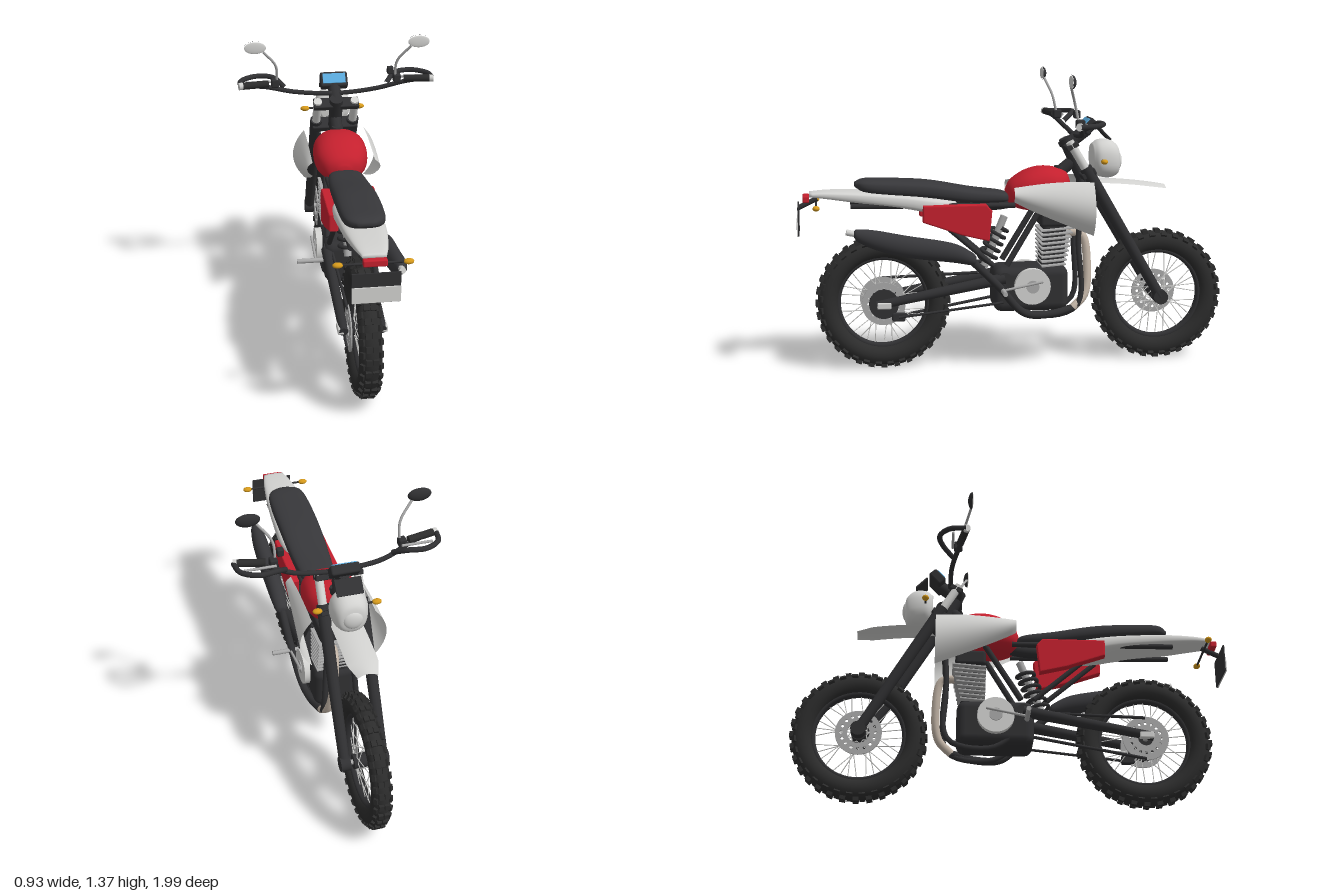
import * as THREE from 'three';
import { mergeGeometries } from 'three/addons/utils/BufferGeometryUtils.js';
import { RoundedBoxGeometry } from 'three/addons/geometries/RoundedBoxGeometry.js';
import { ParametricGeometry } from 'three/addons/geometries/ParametricGeometry.js';

const paint = (name, color, side = THREE.FrontSide) => {
  const m = new THREE.MeshStandardMaterial({ color, side });
  m.name = name;
  return m;
};

export function createModel() {
  const root = new THREE.Group();
  root.name = 'motorcycle';
  const dark = paint('dark frame', 0x303032), rubber = paint('tyre rubber', 0x2c2c2c);
  const vinyl = paint('seat vinyl', 0x37373a), light = paint('pale plastic', 0xd2d2d0, THREE.DoubleSide);
  const red = paint('red paint', 0xc4202e), amber = paint('amber lens', 0xd69a1c);
  const blue = paint('blue screen', 0x5aaadc), beige = paint('header pipe', 0xc4b6a8);
  const metal = paint('metal', 0xa8a8a8);
  const V = (x, y, z) => new THREE.Vector3(x, y, z);

  const add = (name, geo, mat, x = 0, y = 0, z = 0, parent = root) => {
    const m = new THREE.Mesh(geo, mat);
    m.name = name;
    m.position.set(x, y, z);
    parent.add(m);
    return m;
  };
  const box = (name, mat, w, h, d, x, y, z, rx = 0) => {
    const m = add(name, new RoundedBoxGeometry(w, h, d, 2, Math.min(w, h, d) * 0.2), mat, x, y, z);
    m.rotation.x = rx;
    return m;
  };
  const rodGeo = (a, b, r1, r2 = r1, n = 12) => {
    const d = b.clone().sub(a);
    const g = new THREE.CylinderGeometry(r2, r1, d.length(), n);
    g.applyQuaternion(new THREE.Quaternion().setFromUnitVectors(V(0, 1, 0), d.normalize()));
    return g.translate((a.x + b.x) / 2, (a.y + b.y) / 2, (a.z + b.z) / 2);
  };
  const rod = (name, mat, a, b, r1, r2) => add(name, rodGeo(V(...a), V(...b), r1, r2), mat);
  const tube = (name, mat, pts, r) => add(name,
    new THREE.TubeGeometry(new THREE.CatmullRomCurve3(pts.map(p => V(...p))), 32, r, 10), mat);
  const axle = (name, mat, r, w, x, y, z, n = 32) =>
    add(name, new THREE.CylinderGeometry(r, r, w, n).rotateZ(Math.PI / 2), mat, x, y, z);
  const sheet = (name, mat, f, nu = 16, nv = 12) =>
    add(name, new ParametricGeometry((u, v, t) => t.set(...f(u, v)), nu, nv), mat);
  const sides = f => [-1, 1].forEach(f);

  // Rounded body through sections [z, y, half width, half height], z increasing
  const loft = (name, mat, secs, x = 0, e = 0.85, n = 28) => {
    const a = new THREE.CatmullRomCurve3(secs.map(s => V(s[0], s[1], s[2])), false, 'catmullrom');
    const b = new THREE.CatmullRomCurve3(secs.map(s => V(s[3], 0, 0)), false, 'catmullrom');
    const rows = (secs.length - 1) * 5, pos = [], idx = [];
    const pw = v => Math.sign(v) * Math.abs(v) ** e;
    for (let i = 0; i <= rows; i++) {
      const p = a.getPoint(i / rows), h = Math.max(b.getPoint(i / rows).x, 0.001);
      for (let j = 0; j < n; j++) {
        const t = j / n * Math.PI * 2;
        pos.push(Math.max(p.z, 0.001) * pw(Math.cos(t)), p.y + h * pw(Math.sin(t)), p.x);
      }
    }
    for (let i = 0; i < rows; i++) for (let j = 0; j < n; j++) {
      const k = (j + 1) % n, q = i * n, r = q + n;
      idx.push(q + j, q + k, r + k, q + j, r + k, r + j);
    }
    const c = pos.length / 3, end = rows * n, s0 = secs[0], s1 = secs[secs.length - 1];
    pos.push(0, s0[1], s0[0], 0, s1[1], s1[0]);
    for (let j = 0; j < n; j++) {
      const k = (j + 1) % n;
      idx.push(c, k, j, c + 1, end + j, end + k);
    }
    const g = new THREE.BufferGeometry();
    g.setAttribute('position', new THREE.Float32BufferAttribute(pos, 3));
    g.setIndex(idx);
    g.computeVertexNormals();
    return add(name, g, mat, x);
  };

  // Drilled disc lying across the x axis
  const disc = (name, r, inner, x, y, z) => {
    const s = new THREE.Shape().absarc(0, 0, r, 0, Math.PI * 2);
    s.holes.push(new THREE.Path().absarc(0, 0, inner, 0, Math.PI * 2, true));
    for (let i = 0; i < 16; i++) {
      const t = i / 8 * Math.PI, m = (r + inner) / 2;
      s.holes.push(new THREE.Path().absarc(m * Math.cos(t), m * Math.sin(t), 0.007, 0, Math.PI * 2, true));
    }
    const g = new THREE.ExtrudeGeometry(s, { depth: 0.006, bevelEnabled: false, curveSegments: 20 });
    add(name, g.rotateY(Math.PI / 2), metal, x, y, z);
  };

  // Wheels: tyre, knobs, rim, crossed spokes and hub
  const wheel = (name, y, z, width) => {
    const w = new THREE.Group();
    w.name = name;
    w.position.set(0, y, z);
    root.add(w);
    const tyre = new THREE.TorusGeometry(0.253, 0.048, 16, 64).rotateY(Math.PI / 2).scale(width / 0.096, 1, 1);
    add('tyre', tyre, rubber, 0, 0, 0, w);
    add('rim', new THREE.TorusGeometry(0.208, 0.013, 8, 64).rotateY(Math.PI / 2).scale(1.8, 1, 1), dark, 0, 0, 0, w);
    const knobs = [], spokes = [];
    for (let i = 0; i < 32; i++) {
      const t = i / 16 * Math.PI;
      sides(s => {
        const mid = new THREE.BoxGeometry(width * 0.24, 0.018, 0.026);
        knobs.push(mid.translate(s * width * 0.15, 0.301, 0).rotateX(t));
        const edge = new THREE.BoxGeometry(width * 0.2, 0.02, 0.028).rotateZ(-s * 0.8);
        knobs.push(edge.translate(s * width * 0.37, 0.285, 0).rotateX(t + Math.PI / 32));
      });
      const s = i % 2 ? 1 : -1, lean = i % 4 < 2 ? 0.5 : -0.5;
      spokes.push(rodGeo(V(s * 0.035, 0.035 * Math.cos(t + lean * 2), 0.035 * Math.sin(t + lean * 2)),
        V(0, 0.205 * Math.cos(t), 0.205 * Math.sin(t)), 0.0022, 0.0022, 5));
    }
    add('tread knobs', mergeGeometries(knobs), rubber, 0, 0, 0, w);
    add('spokes', mergeGeometries(spokes), light, 0, 0, 0, w);
    axle('hub', dark, 0.033, 0.1, 0, y, z);
    axle('axle', metal, 0.012, 0.21, 0, y, z, 12);
  };
  const FZ = -0.688, RZ = 0.607, WY = 0.312;
  wheel('frontWheel', WY, FZ, 0.085);
  wheel('rearWheel', WY, RZ, 0.1);
  disc('frontBrakeDisc', 0.105, 0.05, -0.055, WY, FZ);
  disc('rearBrakeDisc', 0.1, 0.04, 0.052, WY, RZ);
  disc('rearSprocket', 0.105, 0.035, -0.062, WY, RZ);
  axle('rearHubCover', dark, 0.068, 0.02, 0.06, WY, RZ);

  // Fork, clamps and steering head
  sides(s => {
    const x = s * 0.088;
    rod('forkTube', light, [x, 0.85, -0.37], [x, 1.05, -0.25], 0.02);
    rod('forkLeg', dark, [x, WY, FZ], [x, 0.93, -0.325], 0.024, 0.029);
    axle('forkFoot', dark, 0.034, 0.045, x, WY, FZ, 20);
  });
  box('upperClamp', dark, 0.215, 0.025, 0.06, 0, 1.03, -0.262, 0.5);
  box('lowerClamp', dark, 0.215, 0.03, 0.07, 0, 0.9, -0.34, 0.5);
  rod('steeringHead', dark, [0, 0.84, -0.345], [0, 1.06, -0.245], 0.032);

  // Handlebar, grips, guards, levers and mirrors
  tube('handlebar', dark, [[-0.45, 1.15, -0.225], [-0.34, 1.135, -0.25], [-0.2, 1.092, -0.285], [-0.06, 1.075, -0.29],
    [0.06, 1.075, -0.29], [0.2, 1.092, -0.285], [0.34, 1.135, -0.25], [0.45, 1.15, -0.225]], 0.011);
  const dome = d => new THREE.SphereGeometry(1, 28, 8, 0, Math.PI * 2, 0, Math.PI / 2).rotateX(d * Math.PI / 2);
  sides(s => {
    rod('grip', rubber, [s * 0.32, 1.147, -0.252], [s * 0.44, 1.15, -0.228], 0.017);
    rod('gripEnd', light, [s * 0.44, 1.15, -0.228], [s * 0.458, 1.15, -0.224], 0.017);
    box('switchBlock', dark, 0.035, 0.04, 0.04, s * 0.288, 1.148, -0.26);
    tube('handGuard', dark, [[s * 0.455, 1.15, -0.228], [s * 0.44, 1.152, -0.3], [s * 0.37, 1.155, -0.345],
      [s * 0.29, 1.15, -0.33], [s * 0.24, 1.115, -0.28]], 0.012);
    rod('lever', metal, [s * 0.28, 1.145, -0.285], [s * 0.42, 1.145, -0.285], 0.006);
    tube('mirrorStem', metal, [[s * 0.278, 1.15, -0.255], [s * 0.285, 1.24, -0.235], [s * 0.345, 1.32, -0.205]], 0.006);
    add('mirrorShell', dome(-1).scale(0.054, 0.032, 0.02), dark, s * 0.38, 1.34, -0.2);
    add('mirrorGlass', dome(1).scale(0.05, 0.028, 0.005), light, s * 0.38, 1.34, -0.2);
  });
  box('fluidReservoir', dark, 0.03, 0.035, 0.03, 0.255, 1.19, -0.25);

  // Dashboard
  box('dashHousing', dark, 0.13, 0.075, 0.045, 0, 1.115, -0.352, -0.75);
  box('dashScreen', blue, 0.108, 0.05, 0.006, 0, 1.132, -0.335, -0.75);
  rod('dashMount', dark, [0, 1.04, -0.27], [0, 1.1, -0.35], 0.03);
  const visor = box('smallWindscreen', dark, 0.12, 0.008, 0.075, 0, 1.08, -0.425, -0.8);
  visor.rotation.x = -0.8;

  // Headlight cowl and front mudguard
  loft('headlightCowl', light, [[-0.503, 0.95, 0.025, 0.03], [-0.49, 0.955, 0.06, 0.068], [-0.45, 0.962, 0.08, 0.09],
    [-0.4, 0.965, 0.083, 0.085], [-0.37, 0.97, 0.06, 0.06]]);
  add('headlightLens', dome(-1).scale(0.045, 0.045, 0.02), light, 0, 0.952, -0.493);
  sheet('frontMudguard', light, (u, v) => {
    const t = v * 2 - 1, w = 0.07 - 0.025 * Math.max(0, u - 0.8) / 0.2;
    return [t * w, 0.87 - 0.035 * u * u - 0.015 * t * t, -0.34 - 0.38 * u];
  });

  // Indicators front and rear
  [[0.96, -0.405, 0.133], [0.775, 0.905, 0.145]].forEach(([y, z, x]) => {
    rod('indicatorStalk', dark, [-x, y, z], [x, y, z], 0.005);
    sides(s => {
      const m = add('indicator', new THREE.SphereGeometry(1, 16, 10), amber, s * x, y, z);
      m.scale.set(0.022, 0.012, 0.016);
    });
  });

  // Tank, side shrouds, seat and tail
  loft('fuelTank', red, [[-0.265, 0.83, 0.03, 0.04], [-0.245, 0.832, 0.08, 0.075], [-0.19, 0.83, 0.118, 0.097],
    [-0.12, 0.828, 0.125, 0.102], [-0.05, 0.82, 0.117, 0.09], [0.01, 0.81, 0.08, 0.06], [0.035, 0.805, 0.025, 0.025]]);
  add('tankCap', new THREE.CylinderGeometry(0.025, 0.028, 0.012, 20), dark, 0, 0.925, -0.22);
  sides(s => sheet('sideShroud', light, (u, v) => {
    const t = v * 2 - 1, hi = 0.85 + 0.022 * Math.sin(u * 2.2), lo = 0.785 - 0.165 * u ** 0.9;
    return [s * (0.145 + (0.025 + 0.03 * u) * (1 - t * t)), lo + (hi - lo) * v, 0.015 - 0.37 * u];
  }));
  loft('seat', vinyl, [[0.02, 0.79, 0.04, 0.015], [0.06, 0.795, 0.075, 0.026], [0.2, 0.805, 0.09, 0.035],
    [0.4, 0.835, 0.096, 0.04], [0.6, 0.85, 0.094, 0.036], [0.69, 0.858, 0.08, 0.028], [0.73, 0.862, 0.035, 0.01]], 0, 0.7);
  loft('tailFairing', light, [[0.27, 0.755, 0.07, 0.03], [0.36, 0.762, 0.098, 0.04], [0.5, 0.785, 0.1, 0.035],
    [0.7, 0.806, 0.09, 0.028], [0.85, 0.818, 0.07, 0.018], [0.935, 0.82, 0.05, 0.01]], 0, 0.6);
  const panel = new THREE.Shape([[0.42, 0.765], [0.14, 0.765], [0.118, 0.74], [0.13, 0.61], [0.25, 0.64], [0.42, 0.7]]
    .map(p => new THREE.Vector2(...p)));
  sides(s => add('sidePanel', new THREE.ExtrudeGeometry(panel, {
    depth: 0.03, bevelSize: 0.007, bevelThickness: 0.006, bevelSegments: 3 }).rotateY(-Math.PI / 2), red, s > 0 ? 0.115 : -0.085));
  box('tailLight', red, 0.1, 0.03, 0.03, 0, 0.802, 0.95);
  box('plateHolder', dark, 0.2, 0.13, 0.007, 0, 0.708, 0.985);
  box('blankPlate', light, 0.2, 0.07, 0.006, 0, 0.677, 0.99);
  rod('plateBracket', dark, [0, 0.8, 0.9], [0, 0.76, 0.983], 0.012);

  // Engine with finned cylinder
  box('engineCase', dark, 0.2, 0.21, 0.35, 0, 0.365, -0.075);
  sides(s => {
    axle('engineCover', light, 0.084, 0.03, s * 0.112, 0.385, -0.075);
    axle('coverBoss', metal, 0.03, 0.04, s * 0.112, 0.385, -0.075);
  });
  box('cylinderCore', dark, 0.13, 0.24, 0.11, 0, 0.56, -0.185, -0.06);
  for (let i = 0; i < 9; i++)
    box('coolingFin', metal, 0.18, 0.008, 0.115 + i * 0.005, 0, 0.475 + i * 0.021, -0.18 - i * 0.002, 0.08);
  box('cylinderHead', dark, 0.16, 0.07, 0.14, 0, 0.69, -0.19);

  // Exhaust
  tube('headerPipe', beige, [[0.02, 0.62, -0.25], [0.03, 0.61, -0.32], [0.04, 0.48, -0.345], [0.06, 0.33, -0.33], [0.08, 0.27, -0.27]], 0.019);
  tube('exhaustPipe', dark, [[0.08, 0.27, -0.27], [0.1, 0.25, -0.17], [0.115, 0.26, -0.04], [0.135, 0.4, 0.09], [0.145, 0.54, 0.23]], 0.018);
  loft('muffler', vinyl, [[0.19, 0.525, 0.015, 0.015], [0.21, 0.53, 0.03, 0.03], [0.3, 0.56, 0.039, 0.045],
    [0.5, 0.592, 0.04, 0.05], [0.64, 0.625, 0.037, 0.045], [0.72, 0.648, 0.026, 0.03], [0.74, 0.655, 0.015, 0.015]], 0.147, 1);
  rod('exhaustTip', light, [0.145, 0.655, 0.73], [0.145, 0.665, 0.775], 0.014);

  // Frame, subframe and swingarm
  tube('backbone', dark, [[0, 0.95, -0.28], [0, 0.85, -0.15], [0, 0.77, 0], [0, 0.75, 0.2]], 0.028);
  sides(s => {
    tube('cradle', dark, [[s * 0.03, 0.88, -0.32], [s * 0.06, 0.6, -0.3], [s * 0.08, 0.28, -0.29],
      [s * 0.08, 0.24, -0.1], [s * 0.085, 0.3, 0], [s * 0.09, 0.42, 0.07]], 0.013);
    rod('frameStrut', dark, [s * 0.08, 0.48, 0.04], [s * 0.07, 0.76, -0.13], 0.014);
    rod('subframeStrut', dark, [s * 0.08, 0.48, 0.1], [s * 0.08, 0.74, 0.4], 0.012);
    rod('seatRail', dark, [s * 0.075, 0.76, 0], [s * 0.07, 0.77, 0.75], 0.012);
    rod('swingarm', dark, [s * 0.085, WY, 0.64], [s * 0.085, 0.42, 0.05], 0.02, 0.027);
    box('axleAdjuster', light, 0.03, 0.03, 0.065, s * 0.095, WY, RZ);
    rod('footPeg', metal, [s * 0.1, 0.375, 0.066], [s * 0.228, 0.375, 0.066], 0.011);
    rod('footLever', metal, [s * 0.14, 0.375, 0.06], [s * 0.14, 0.41, -0.12], 0.006);
  });
  axle('swingarmPivot', dark, 0.03, 0.2, 0, 0.42, 0.05, 20);
  rod('chainTop', dark, [-0.065, 0.41, RZ], [-0.065, 0.425, 0.06], 0.007);
  rod('chainBottom', dark, [-0.065, 0.212, RZ], [-0.065, 0.31, 0.06], 0.007);
  rod('brakeRod', dark, [0.075, 0.25, 0.54], [0.1, 0.31, 0.06], 0.006);
  box('brakeCaliper', dark, 0.03, 0.04, 0.06, 0.06, 0.25, 0.54);

  // Rear shock with coil spring
  rod('shock', metal, [0, 0.43, 0.15], [0, 0.7, 0.04], 0.018);
  const coil = [];
  for (let i = 0; i <= 72; i++) {
    const t = i / 72, a = t * Math.PI * 12;
    coil.push(V(0.037 * Math.cos(a), 0.46 + 0.19 * t + 0.015 * Math.sin(a), 0.138 - 0.077 * t + 0.037 * Math.sin(a)));
  }
  add('shockSpring', new THREE.TubeGeometry(new THREE.CatmullRomCurve3(coil), 160, 0.009, 8), dark);
  return root;
}
